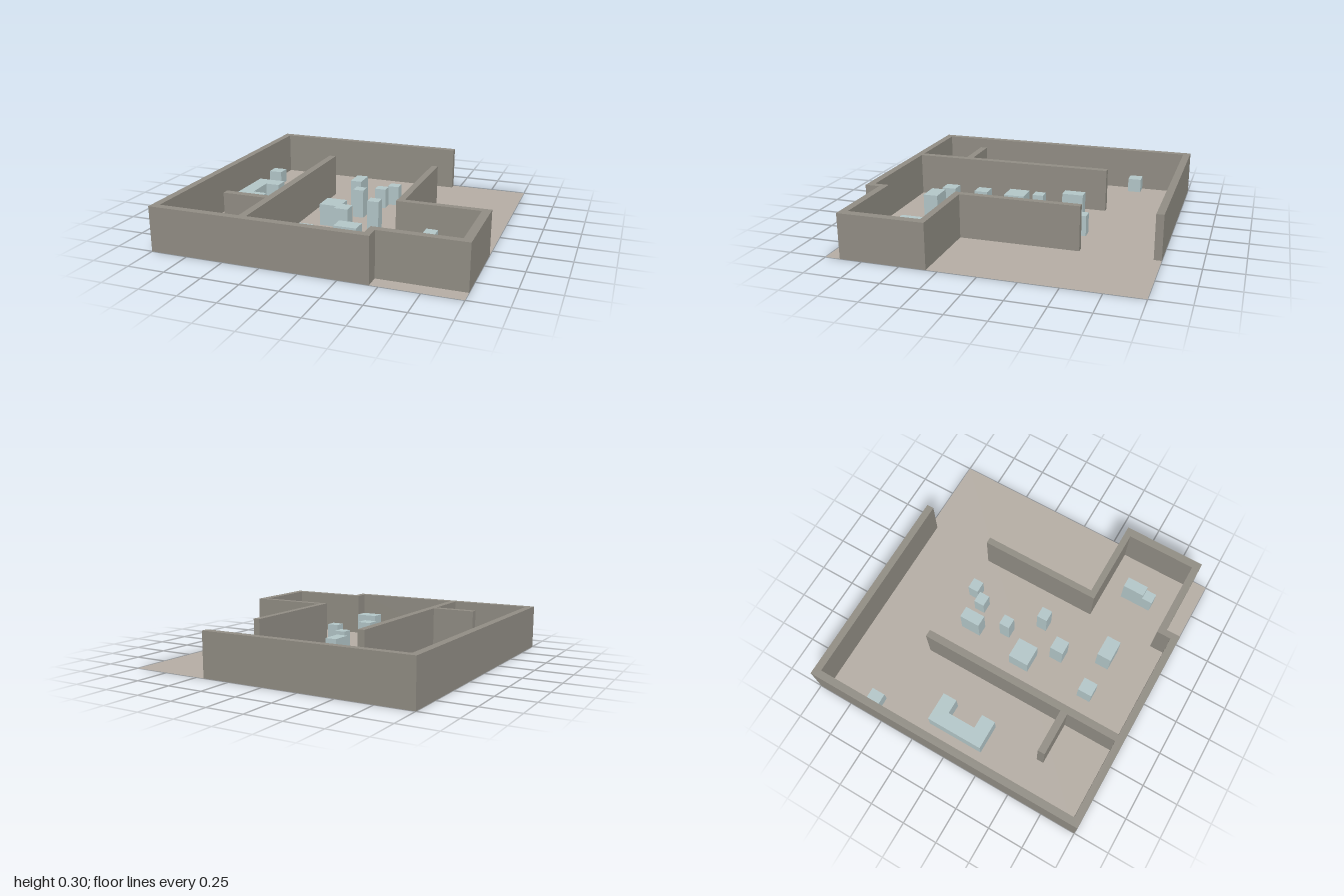
import * as THREE from 'three';

const floorMat = new THREE.MeshStandardMaterial({ color: 0xb5ada4, side: THREE.DoubleSide });
const wallMat = new THREE.MeshStandardMaterial({ color: 0x918d84 });
const furnitureMat = new THREE.MeshStandardMaterial({ color: 0xb3c6c8 });

// Raises a plan outline of [x, z] corners from the floor to a height
function raise(name, plan, height, material) {
  const shape = new THREE.Shape(plan.map(([x, z]) => new THREE.Vector2(x, -z)));
  const geometry = new THREE.ExtrudeGeometry(shape, { depth: height, bevelEnabled: false });
  geometry.rotateX(-Math.PI / 2);
  const mesh = new THREE.Mesh(geometry, material);
  mesh.name = name;
  return mesh;
}

// Box standing on the floor, given by its plan limits
function block(name, x0, x1, z0, z1, height) {
  const mesh = new THREE.Mesh(new THREE.BoxGeometry(x1 - x0, height, z1 - z0), furnitureMat);
  mesh.position.set((x0 + x1) / 2, height / 2, (z0 + z1) / 2);
  mesh.name = name;
  return mesh;
}

export function createModel() {
  const model = new THREE.Group();
  model.name = 'floorPlan';

  // Thin floor sheet
  const floor = new THREE.Mesh(new THREE.PlaneGeometry(2, 2).rotateX(-Math.PI / 2), floorMat);
  floor.name = 'floor';
  model.add(floor);

  // Continuous walls: outer faces first, then back along the inner faces
  model.add(raise('walls', [
    [0.445, -0.95], [0.445, -1], [-1, -1], [-1, 1], [0.445, 1], [0.445, 0.9],
    [1, 0.9], [1, 0.325], [0.445, 0.325], [0.445, -0.48], [0.4, -0.48], [0.4, 0.37],
    [0.945, 0.37], [0.945, 0.85], [0.4, 0.85], [0.4, 0.95],
    // partition with its short stub
    [-0.35, 0.95], [-0.35, -0.48], [-0.4, -0.48], [-0.4, 0.55], [-0.7, 0.55],
    [-0.7, 0.6], [-0.4, 0.6], [-0.4, 0.95],
    [-0.95, 0.95], [-0.95, -0.95],
  ], 0.3, wallMat));

  const furniture = new THREE.Group();
  furniture.name = 'furniture';
  model.add(furniture);

  // U-shaped counter in the side room
  furniture.add(raise('counter', [
    [-0.85, -0.2], [-0.85, 0.2], [-0.65, 0.2], [-0.65, 0.1],
    [-0.75, 0.1], [-0.75, -0.1], [-0.65, -0.1], [-0.65, -0.2],
  ], 0.15, furnitureMat));

  // Free-standing pieces: name, x limits, z limits, height
  const pieces = [
    ['wallCabinet', -0.95, -0.85, -0.65, -0.555, 0.1],
    ['tallCabinet', -0.135, -0.055, -0.38, -0.235, 0.2],
    ['backStand', 0.1, 0.18, -0.46, -0.385, 0.14],
    ['backStand', 0.03, 0.11, -0.37, -0.295, 0.14],
    ['pillar', -0.045, 0.03, -0.12, -0.045, 0.2],
    ['pillar', 0.13, 0.21, 0.08, 0.155, 0.2],
    ['table', -0.2, -0.055, 0.045, 0.19, 0.15],
    ['pedestal', -0.025, 0.07, 0.27, 0.365, 0.2],
    ['frontStand', -0.175, -0.08, 0.57, 0.67, 0.15],
    ['frontCabinet', 0.095, 0.245, 0.57, 0.67, 0.2],
    ['nookCabinet', 0.635, 0.71, 0.495, 0.645, 0.19],
    ['nookSeat', 0.635, 0.71, 0.645, 0.72, 0.14],
  ];
  for (const piece of pieces) furniture.add(block(...piece));

  return model;
}
